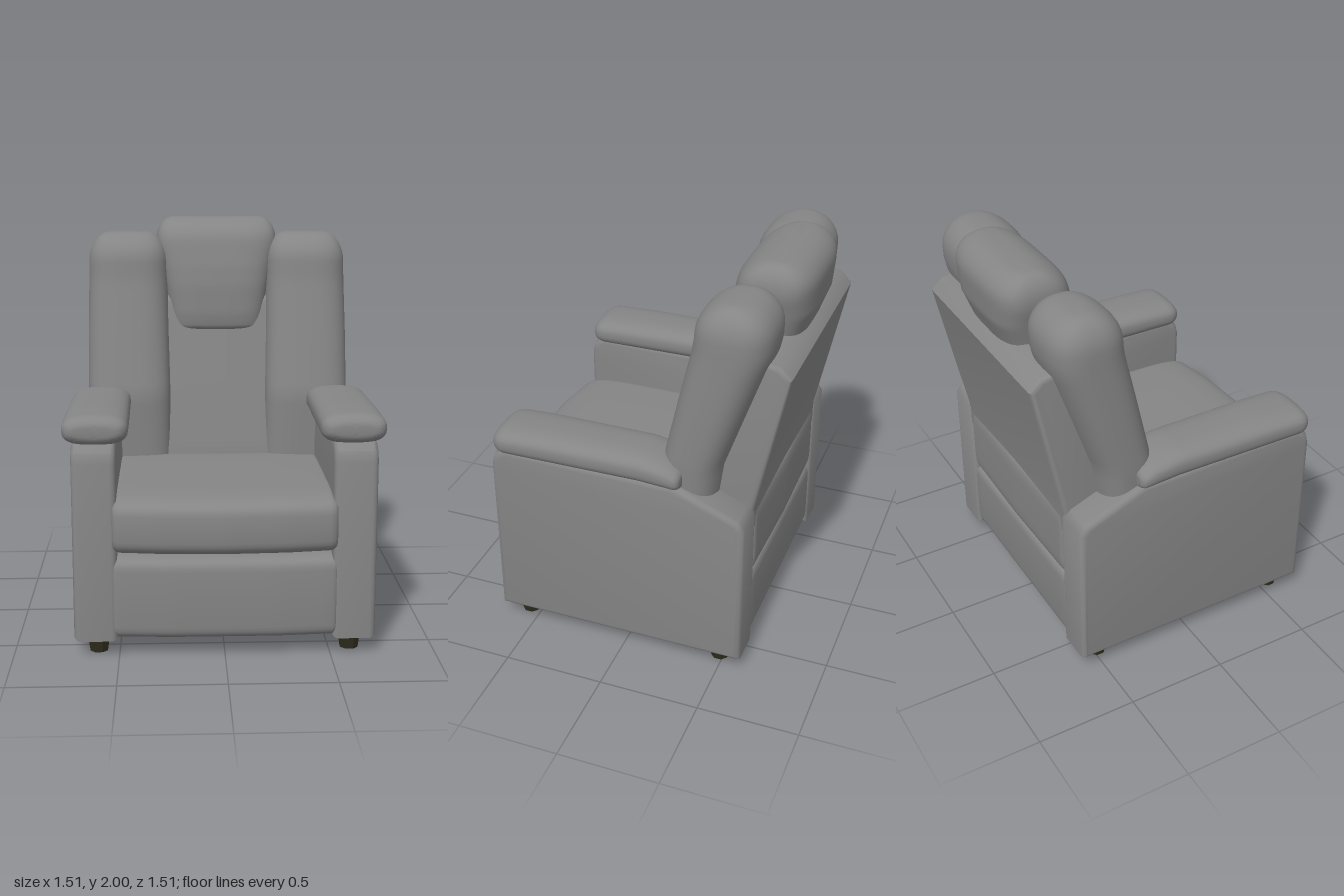
import * as THREE from 'three';
import { toCreasedNormals } from 'three/addons/utils/BufferGeometryUtils.js';

const upholstery = new THREE.MeshStandardMaterial({ name: 'grey upholstery', color: 0x858585 });
const darkWood = new THREE.MeshStandardMaterial({ name: 'dark feet', color: 0x2e2c1e });

// Cushion lofted along an axis from sections [t, cu, cv, ru, rv], superellipse power n.
// (u, v) is (y, z) along x, (z, x) along y and (x, y) along z.
// Each end is rounded by [length along t, inset in u, inset in v].
function cushion(axis, sections, n, startRound, endRound) {
  const AROUND = 56, ARC = 8, MID = 20;
  const first = sections[0][0], last = sections[sections.length - 1][0];
  const at = t => {
    let i = 0;
    while (i < sections.length - 2 && t > sections[i + 1][0]) i++;
    const a = sections[i], b = sections[i + 1], k = (t - a[0]) / (b[0] - a[0]);
    return a.map((value, j) => value + (b[j] - value) * k);
  };
  const rings = [];
  const addRing = (t, inset, round) => {
    const [, cu, cv, ru, rv] = at(t);
    rings.push([t, cu, cv, ru - inset * round[1], rv - inset * round[2]]);
  };
  for (let i = 0; i < ARC; i++) {
    const a = (i / ARC) * Math.PI / 2;
    addRing(first + startRound[0] * (1 - Math.sin(a)), 1 - Math.cos(a), startRound);
  }
  // the arc runs from the full section to the tip, so put it in order
  rings.reverse();
  const from = first + startRound[0], to = last - endRound[0];
  for (let i = 1; i < MID; i++) addRing(from + (to - from) * i / MID, 0, endRound);
  for (let i = 0; i <= ARC; i++) {
    const a = (i / ARC) * Math.PI / 2;
    addRing(to + endRound[0] * Math.sin(a), 1 - Math.cos(a), endRound);
  }
  const [, su, sv, sru, srv] = at(first);
  rings.unshift([first, su, sv, sru - startRound[1], srv - startRound[2]]);
  rings.sort((a, b) => a[0] - b[0]);

  const positions = [], index = [];
  const put = (t, u, v) => positions.push(...(axis === 'x' ? [t, u, v] : axis === 'y' ? [v, t, u] : [u, v, t]));
  const bend = c => Math.sign(c) * Math.abs(c) ** (2 / n);
  for (const [t, cu, cv, ru, rv] of rings) {
    for (let j = 0; j < AROUND; j++) {
      const a = (j / AROUND) * Math.PI * 2;
      put(t, cu + ru * bend(Math.cos(a)), cv + rv * bend(Math.sin(a)));
    }
  }
  for (let i = 0; i < rings.length - 1; i++) {
    for (let j = 0; j < AROUND; j++) {
      const a = i * AROUND + j, b = i * AROUND + (j + 1) % AROUND;
      index.push(a, b, b + AROUND, a, b + AROUND, a + AROUND);
    }
  }
  const tip = rings.length * AROUND, top = (rings.length - 1) * AROUND;
  for (const r of [rings[0], rings[rings.length - 1]]) put(r[0], r[1], r[2]);
  for (let j = 0; j < AROUND; j++) {
    const k = (j + 1) % AROUND;
    index.push(tip, k, j, tip + 1, top + j, top + k);
  }
  const geometry = new THREE.BufferGeometry();
  geometry.setAttribute('position', new THREE.Float32BufferAttribute(positions, 3));
  geometry.setIndex(index);
  return toCreasedNormals(geometry, 0.9);
}

// Side outline [z, y] extruded between two x positions with soft edges.
function slab(outline, x0, x1, bevel) {
  const shape = new THREE.Shape(outline.map(([z, y]) => new THREE.Vector2(-z, y)));
  const geometry = new THREE.ExtrudeGeometry(shape, {
    depth: x1 - x0 - 2 * bevel, bevelEnabled: true, bevelSize: bevel,
    bevelThickness: bevel, bevelSegments: 4,
  });
  geometry.translate(0, 0, x0 + bevel);
  geometry.rotateY(Math.PI / 2);
  return toCreasedNormals(geometry, 0.7);
}

export function createModel() {
  const model = new THREE.Group();
  model.name = 'reclinerArmchair';
  const add = (name, geometry, material = upholstery) => {
    const mesh = new THREE.Mesh(geometry, material);
    mesh.name = name;
    model.add(mesh);
    return mesh;
  };

  // base with its softly bulging front panel
  add('base', cushion('x', [
    [-0.53, 0.285, 0.035, 0.207, 0.64], [-0.25, 0.285, 0.045, 0.207, 0.65],
    [0.25, 0.285, 0.045, 0.207, 0.65], [0.53, 0.285, 0.035, 0.207, 0.64],
  ], 10, [0.03, 0.01, 0.02], [0.03, 0.01, 0.02]));

  // seat cushion
  add('seatCushion', cushion('x', [
    [-0.525, 0.635, 0.18, 0.145, 0.53], [-0.3, 0.637, 0.2, 0.148, 0.54], [0, 0.637, 0.21, 0.148, 0.545],
    [0.3, 0.637, 0.2, 0.148, 0.54], [0.525, 0.635, 0.18, 0.145, 0.53],
  ], 5, [0.04, 0.02, 0.03], [0.04, 0.02, 0.03]));

  // middle of the backrest
  add('backCushion', cushion('y', [
    [0.7, -0.35, 0, 0.13, 0.33], [0.8, -0.36, 0, 0.13, 0.33],
    [1.1, -0.41, 0, 0.12, 0.33], [1.6, -0.52, 0, 0.12, 0.33],
  ], 8, [0.02, 0.02, 0.02], [0.04, 0.04, 0.04]));

  // headrest pillow, wider and thicker at the top
  add('headrest', cushion('y', [
    [1.405, -0.48, 0, 0.13, 0.235], [1.5, -0.5, 0, 0.165, 0.25], [1.65, -0.525, 0, 0.188, 0.275],
    [1.75, -0.55, 0, 0.2, 0.295], [1.85, -0.565, 0, 0.192, 0.318], [2, -0.585, 0, 0.175, 0.32],
  ], 3.6, [0.04, 0.05, 0.03], [0.12, 0.14, 0.09]));

  // rear board of the backrest and the loose cloth beneath it
  add('backBoard', slab([
    [-0.64, 1.63], [-0.69, 1.62], [-0.73, 1.58], [-0.58, 0.87], [-0.58, 0.78], [-0.38, 0.78], [-0.38, 0.95],
  ], -0.55, 0.55, 0.025));
  add('rearCloth', cushion('x', [
    [-0.51, 0.67, -0.54, 0.19, 0.07], [0, 0.67, -0.545, 0.19, 0.075], [0.51, 0.67, -0.54, 0.19, 0.07],
  ], 5, [0.03, 0.01, 0.02], [0.03, 0.01, 0.02]));

  for (const side of [1, -1]) {
    const label = side > 0 ? 'left' : 'right';

    // side panel sloping down behind the armrest
    const inner = 0.505, outer = 0.712;
    add(label + 'SidePanel', slab([
      [0.64, 0.11], [0.64, 0.93], [0.63, 0.97], [0.59, 1.0], [-0.26, 0.99], [-0.56, 0.87], [-0.58, 0.84], [-0.58, 0.11],
    ], side > 0 ? inner : -outer, side > 0 ? outer : -inner, 0.03));

    // padded armrest
    add(label + 'Armrest', cushion('z', [
      [-0.3, side * 0.605, 1.05, 0.135, 0.05], [-0.22, side * 0.603, 1.07, 0.143, 0.067],
      [-0.1, side * 0.602, 1.085, 0.148, 0.075], [0.4, side * 0.602, 1.085, 0.154, 0.075],
      [0.645, side * 0.602, 1.08, 0.154, 0.07],
    ], 2.7, [0.03, 0.03, 0.02], [0.07, 0.06, 0.05]));

    // tall padded wing leaning back
    add(label + 'Wing', cushion('y', [
      [0.72, -0.295, side * 0.455, 0.12, 0.205], [1.1, -0.315, side * 0.465, 0.15, 0.215],
      [1.4, -0.4, side * 0.468, 0.168, 0.212], [1.7, -0.487, side * 0.468, 0.186, 0.208],
      [1.925, -0.5, side * 0.468, 0.18, 0.205],
    ], 2.8, [0.02, 0.02, 0.02], [0.15, 0.15, 0.11]));

    // short tapered feet
    for (const [end, z] of [['Front', 0.56], ['Back', -0.48]]) {
      const foot = new THREE.CylinderGeometry(0.058, 0.045, 0.09, 8);
      foot.rotateY(Math.PI / 8);
      add(label + end + 'Foot', toCreasedNormals(foot, 0.5), darkWood).position.set(side * 0.6, 0.045, z);
    }
  }
  return model;
}
